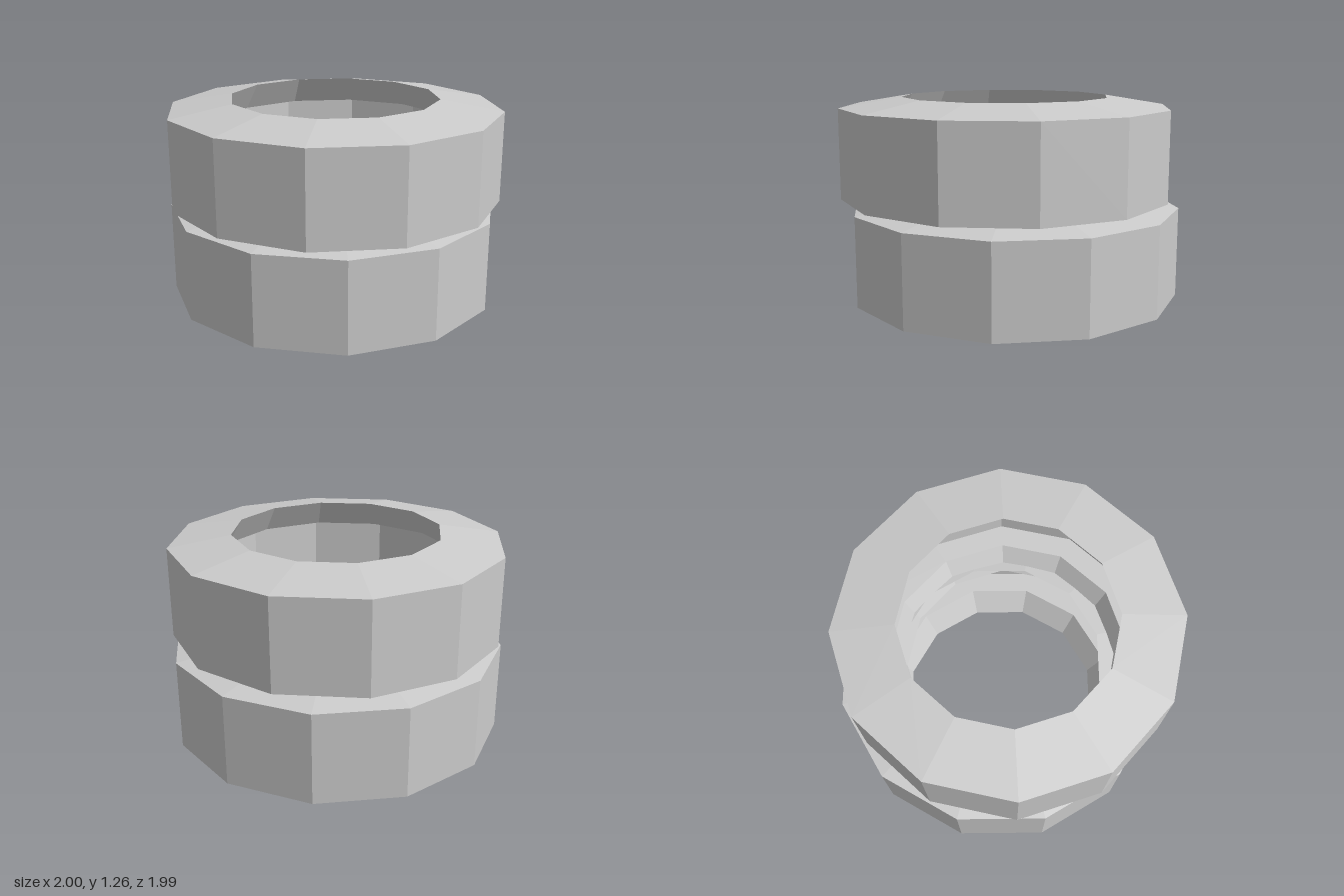
import * as THREE from 'three';

const SIDES = 12;
const HEIGHT = 0.662;

// Closed cross-section of one tyre: tread, sloped sidewalls, flared bead and hollow inside
function tyreGeometry() {
  const half = [[0.62, 0], [0.99, 0.062]];      // bead to tread, lower half
  const inner = [[0.85, 0.16], [0.715, 0.16]];  // hollow, lower half
  const mirror = (list) => list.map(([r, y]) => [r, HEIGHT - y]).reverse();
  const profile = [...half, ...mirror(half), ...mirror(inner), ...inner, half[0]];
  const points = profile.map(([r, y]) => new THREE.Vector2(r, y));
  const geometry = new THREE.LatheGeometry(points, SIDES).toNonIndexed();
  geometry.computeVertexNormals();
  return geometry;
}

export function createModel() {
  const group = new THREE.Group();
  group.name = 'tyreStack';
  const material = new THREE.MeshStandardMaterial({ color: 0xcccccc, flatShading: true });
  const geometry = tyreGeometry();

  // Two tyres, the upper one nested slightly into the lower, each shifted and turned
  const tyres = [
    { name: 'lowerTyre', position: [-0.027, 0, -0.023], turn: -10.3 },
    { name: 'upperTyre', position: [0.015, 0.6, 0.01], turn: 7 },
  ];
  for (const { name, position, turn } of tyres) {
    const tyre = new THREE.Mesh(geometry, material);
    tyre.name = name;
    tyre.position.set(...position);
    tyre.rotation.y = THREE.MathUtils.degToRad(turn);
    group.add(tyre);
  }
  return group;
}
